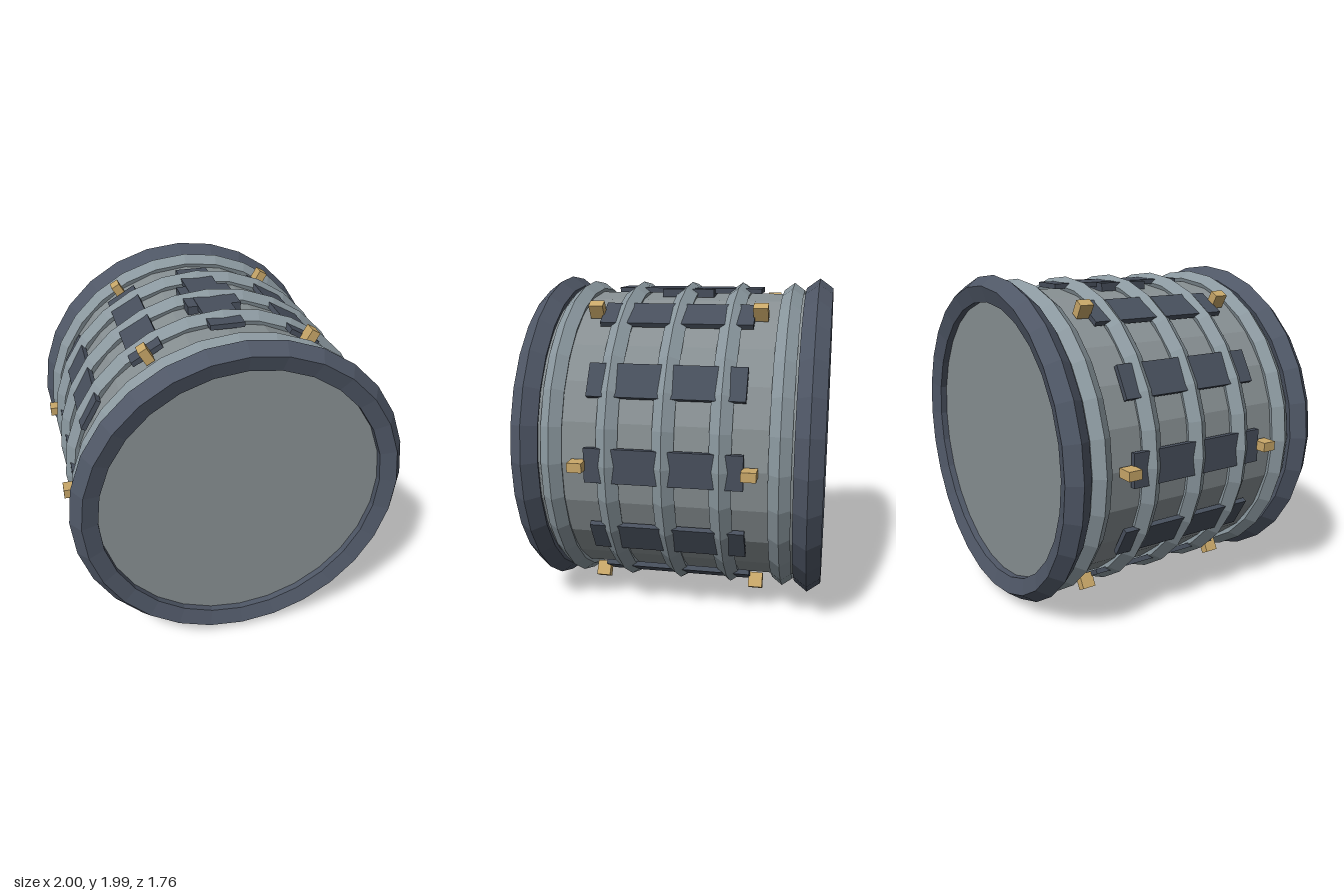
import * as THREE from 'three';

const mat = (name, color) => {
  const m = new THREE.MeshStandardMaterial({ color, flatShading: true });
  m.name = name;
  return m;
};

export function createModel() {
  const group = new THREE.Group();
  const hullGrey = mat('hull grey', 0x878f92);
  const ribGrey = mat('rib grey', 0x8b989f);
  const rimSlate = mat('rim slate', 0x4f5766);
  const plateSlate = mat('plate slate', 0x474f5c);
  const brass = mat('brass', 0xc9a869);

  // everything is laid out around the drum axis (z), raised to stand on y = 0
  const drum = new THREE.Group();
  drum.name = 'drum';
  drum.position.y = 0.997;
  group.add(drum);

  const add = (name, geometry, material) => {
    const mesh = new THREE.Mesh(geometry, material);
    mesh.name = name;
    drum.add(mesh);
    return mesh;
  };

  // box placed on the drum wall: x is radial, y is tangential, z is along the axis
  const wallBox = (name, size, radius, angle, z, material) => {
    const box = add(name, new THREE.BoxGeometry(...size), material);
    box.position.set(radius * Math.cos(angle), radius * Math.sin(angle), z);
    box.rotation.z = angle;
    return box;
  };

  // main body
  const body = new THREE.CylinderGeometry(0.9, 0.9, 1.62, 24);
  body.rotateX(Math.PI / 2);
  add('body', body, hullGrey);

  // heavy end rims
  for (const z of [-0.8, 0.8]) {
    add('endRim', new THREE.TorusGeometry(0.911, 0.085, 5, 28), rimSlate).position.z = z;
  }

  // ribs between the rims
  for (const z of [-0.645, -0.32, 0, 0.32, 0.645]) {
    add('rib', new THREE.TorusGeometry(0.902, 0.066, 5, 28), ribGrey).position.z = z;
  }

  // long wall plates, crossed by the ribs
  for (let i = 0; i < 12; i++) {
    wallBox('wallPlate', [0.03, 0.2, 0.9], 0.92, (i * Math.PI) / 6, 0, plateSlate);
  }

  // wider hatch on the top
  wallBox('topHatch', [0.05, 0.32, 0.32], 0.907, Math.PI / 2, 0, plateSlate);

  // small lugs in two circles
  for (const z of [-0.485, 0.485]) {
    for (let i = 0; i < 6; i++) {
      wallBox('lug', [0.09, 0.055, 0.085], 0.953, (i * Math.PI) / 3, z, brass);
    }
  }

  return group;
}
